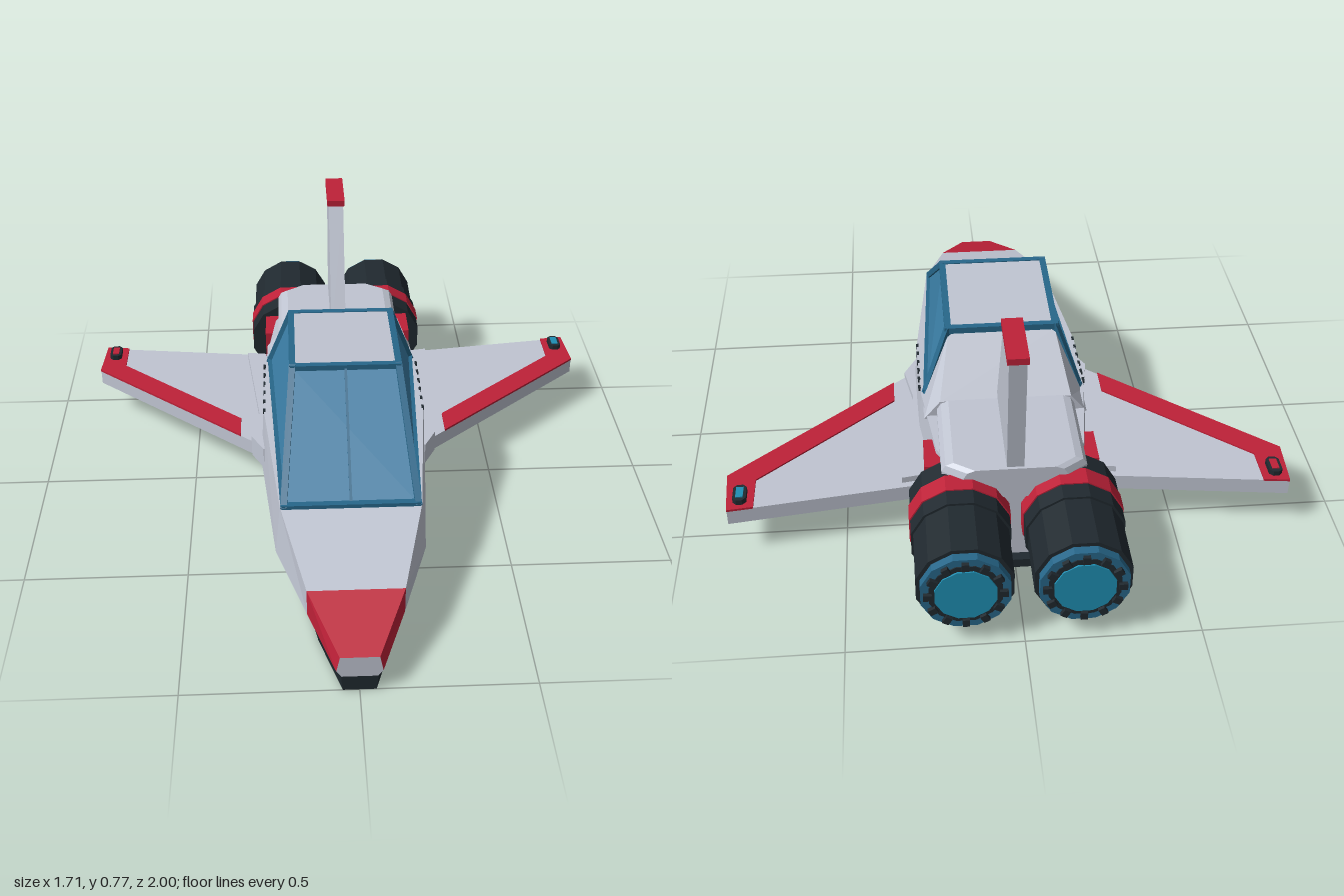
import * as THREE from 'three';

const paint = (name, color) => Object.assign(new THREE.MeshStandardMaterial({ color }), { name });

export function createModel() {
  const model = new THREE.Group();
  model.name = 'spaceFighter';
  const grey = paint('hull grey', 0xc0c5d2), red = paint('trim red', 0xbe2138);
  const dark = paint('dark metal', 0x20292f), glass = paint('canopy glass', 0x3a7ca3);
  const frame = paint('frame blue', 0x27678a), glow = paint('engine cyan', 0x1f8fb3);

  // Adds a faceted mesh
  function add(name, geo, mat, x = 0, y = 0, z = 0) {
    const g = geo.index ? geo.toNonIndexed() : geo;
    g.computeVertexNormals();
    const mesh = new THREE.Mesh(g, mat);
    mesh.name = name;
    mesh.position.set(x, y, z);
    model.add(mesh);
    return mesh;
  }

  // Skin over mirrored half rings of [x, y, z], listed bottom to top, front to back
  function loft(halves, front = true, back = true) {
    const rings = halves.map(h => [...h, ...[...h].reverse().map(([x, y, z]) => [-x, y, z])]);
    const out = [], n = rings[0].length;
    const tri = (...p) => p.forEach(v => out.push(...v));
    for (let r = 0; r < rings.length - 1; r++) {
      const a = rings[r], b = rings[r + 1];
      for (let i = 0; i < n; i++) {
        const j = (i + 1) % n;
        tri(a[i], b[i], a[j]);
        tri(a[j], b[i], b[j]);
      }
    }
    const f = rings[0], e = rings[rings.length - 1];
    for (let i = 1; i < n - 1; i++) {
      if (front) tri(f[0], f[i], f[i + 1]);
      if (back) tri(e[0], e[i + 1], e[i]);
    }
    const geo = new THREE.BufferGeometry();
    geo.setAttribute('position', new THREE.Float32BufferAttribute(out, 3));
    return geo;
  }

  // Horizontal plate from an [x, z] outline, mirrored by s
  function plate(name, pts, s, y, height, mat) {
    const shape = new THREE.Shape(pts.map(([x, z]) => new THREE.Vector2(x * s, -z)));
    const geo = new THREE.ExtrudeGeometry(shape, { depth: height, bevelEnabled: false });
    return add(name, geo.rotateX(-Math.PI / 2), mat, 0, y, 0);
  }

  // Square bar between two points
  function bar(name, a, b, w, mat) {
    const p = new THREE.Vector3(...a), q = new THREE.Vector3(...b);
    const mesh = add(name, new THREE.BoxGeometry(w, w, p.distanceTo(q) + w * 0.7), mat);
    mesh.position.copy(p).lerp(q, 0.5);
    mesh.lookAt(q);
  }

  // Hull stations: z, base half-width, base top, chine x, chine y, top x, top y
  const stations = [
    [1, 0.05, 0.05, 0.065, 0.07, 0.055, 0.12],
    [0.805, 0.115, 0.042, 0.14, 0.105, 0.14, 0.19],
    [0.52, 0.17, 0.03, 0.228, 0.098, 0.212, 0.268],
    [0.03, 0.21, 0.017, 0.275, 0.085, 0.262, 0.295],
    [-0.25, 0.21, 0.018, 0.272, 0.09, 0.255, 0.312],
    [-0.52, 0.18, 0.025, 0.235, 0.1, 0.22, 0.31],
    [-0.68, 0.12, 0.03, 0.14, 0.11, 0.14, 0.31],
  ];
  const hull = stations.map(([z, b, by, cx, cy, tx, ty]) => [[b, by, z], [cx, cy, z], [tx, ty, z]]);
  add('noseTip', loft(hull.slice(0, 2), false, false), red);
  add('noseFace', loft([hull[0], hull[0].map(([x, y]) => [x * 0.98, y * 0.99, 0.995])]), grey);
  add('hull', loft(hull.slice(1), false), grey);
  const base = stations.map(([z, b, by]) => {
    const zz = z < -0.6 ? -0.71 : z;
    return [[b * 0.94, 0, zz], [b + 0.002, by, zz]];
  });
  add('belly', loft(base), dark);

  // Canopy
  const fb = [0.2, 0.268, 0.52], ft = [0.165, 0.53, 0.16];
  const bb = [0.238, 0.315, -0.24], bt = [0.165, 0.517, -0.2];
  add('canopyGlass', loft([[fb, ft], [bb, bt]]), glass);
  const flip = ([x, y, z]) => [-x, y, z];
  for (const m of [p => p, flip]) {
    for (const [a, b] of [[fb, ft], [ft, bt], [bt, bb], [bb, fb]]) bar('canopyFrame', m(a), m(b), 0.02, frame);
  }
  for (const p of [fb, ft, bt]) bar('canopyCrossbar', p, flip(p), 0.02, frame);
  bar('windshieldDivider', [0, 0.268, 0.52], [0, 0.53, 0.16], 0.008, frame);
  const roof = add('canopyRoof', new THREE.BoxGeometry(0.315, 0.008, 0.345), grey, 0, 0.527, -0.02);
  roof.rotation.x = -0.036;

  // Fairing behind the canopy and rear deck
  add('canopyFairing', loft([
    [[0.25, 0.3, -0.25], [0.165, 0.505, -0.205]],
    [[0.25, 0.3, -0.36], [0.2, 0.362, -0.36]],
  ]), grey);
  const deck = (z, w) => [[w, 0.26, z], [w, 0.335, z], [w - 0.012, 0.355, z], [w - 0.035, 0.364, z]];
  add('rearDeck', loft([deck(-0.35, 0.21), deck(-0.65, 0.21), deck(-0.69, 0.15)]), grey);

  // Tail fin
  const fin = new THREE.Shape([[0.33, 0.355], [0.68, 0.355], [0.72, 0.752], [0.54, 0.752]]
    .map(p => new THREE.Vector2(...p)));
  const finGeo = new THREE.ExtrudeGeometry(fin, { depth: 0.05, bevelEnabled: false });
  add('tailFin', finGeo.translate(0, 0, -0.025).rotateY(Math.PI / 2), grey);
  add('finCap', new THREE.BoxGeometry(0.06, 0.02, 0.195), red, 0, 0.762, -0.63);

  // Round section along z, from front z to back z
  const drum = (name, r, z0, z1, mat, x, r2 = r) =>
    add(name, new THREE.CylinderGeometry(r, r2, z0 - z1, 12).rotateY(Math.PI / 12)
      .rotateX(Math.PI / 2), mat, x, 0.188, (z0 + z1) / 2);

  for (const s of [1, -1]) {
    // Wing, edge stripe and root fairing
    plate('wing', [[0.2, 0.1], [0.28, 0.055], [0.852, -0.43], [0.842, -0.585], [0.2, -0.505]], s, 0.12, 0.05, grey);
    plate('wingStripe', [[0.342, 0.003], [0.853, -0.43], [0.843, -0.586], [0.765, -0.577],
      [0.765, -0.455], [0.342, -0.095]], s, 0.168, 0.007, red);
    plate('wingRoot', [[0.2, 0.11], [0.265, 0.11], [0.305, 0.035], [0.28, -0.1], [0.325, -0.5], [0.2, -0.48]],
      s, 0.115, 0.075, grey);

    // Wing tip light
    plate('lightHousing', [[0.797, -0.495], [0.815, -0.495], [0.826, -0.506], [0.826, -0.554],
      [0.815, -0.565], [0.797, -0.565], [0.786, -0.554], [0.786, -0.506]], s, 0.172, 0.02, dark);
    add('tipLight', new THREE.BoxGeometry(0.022, 0.006, 0.044), s > 0 ? glow : red, s * 0.806, 0.192, -0.53);

    // Intake block beside the rear deck
    add('intakeBlock', new THREE.BoxGeometry(0.06, 0.115, 0.125), red, s * 0.227, 0.238, -0.518);

    // Panel vents along the shoulder
    for (let i = 0; i < 6; i++)
      add('shoulderVent', new THREE.BoxGeometry(0.008, 0.008, 0.02), dark, s * 0.259, 0.291 + i * 0.003, 0.04 - i * 0.05);

    // Engine
    const x = s * 0.163;
    drum('engineCollar', 0.147, -0.597, -0.785, dark, x);
    drum('engineBand', 0.151, -0.667, -0.73, red, x);
    drum('engineBody', 0.14, -0.78, -0.962, dark, x);
    drum('engineRim', 0.128, -0.96, -0.988, frame, x);
    drum('engineThroat', 0.104, -0.98, -0.991, dark, x);
    drum('engineGlow', 0.088, -0.98, -0.996, glow, x);
    for (let i = 0; i < 12; i++) {
      const a = i * Math.PI / 6;
      const lug = add('engineLug', new THREE.BoxGeometry(0.024, 0.02, 0.03), dark,
        x + Math.cos(a) * 0.104, 0.188 + Math.sin(a) * 0.104, -0.985);
      lug.rotation.z = a;
    }
  }
  return model;
}
